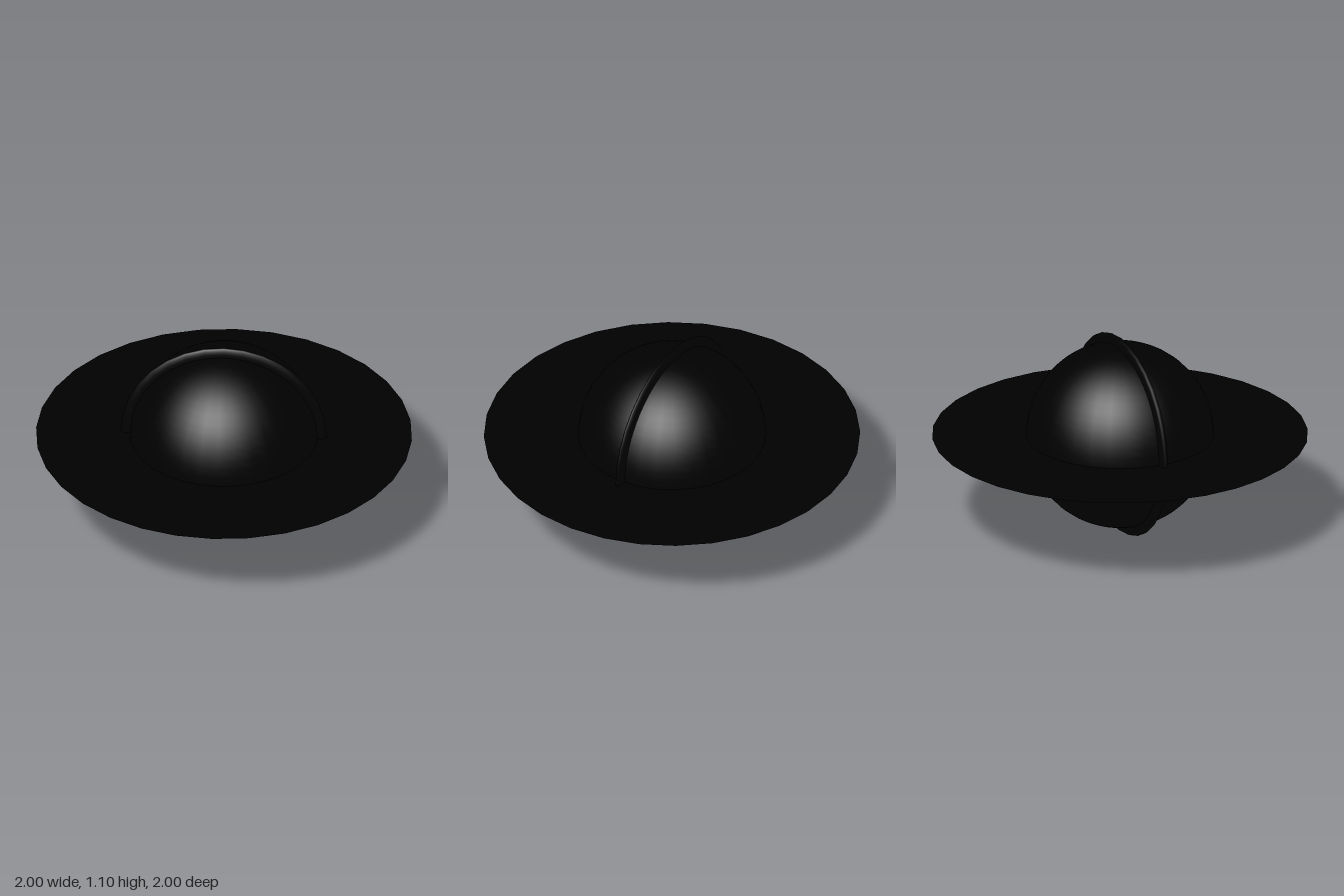
import * as THREE from 'three';

const CENTER_Y = 0.55;
const SEGMENTS = 32;

export function createModel() {
  const model = new THREE.Group();
  const black = new THREE.MeshStandardMaterial({ color: 0x000000 });
  const blackThin = new THREE.MeshStandardMaterial({ color: 0x000000, side: THREE.DoubleSide });

  const add = (name, geometry, material) => {
    const mesh = new THREE.Mesh(geometry, material);
    mesh.name = name;
    mesh.position.y = CENTER_Y;
    model.add(mesh);
    return mesh;
  };

  // Central ball
  add('sphere', new THREE.SphereGeometry(0.5, SEGMENTS, SEGMENTS), black);

  // Paper-thin horizontal disc around the ball
  const disc = new THREE.RingGeometry(0.5, 1, SEGMENTS).rotateX(-Math.PI / 2);
  add('disc', disc, blackThin);

  // Upright halo, a torus flattened front to back
  const halo = new THREE.TorusGeometry(0.5, 0.05, 16, SEGMENTS).scale(1, 1, 0.4);
  add('halo', halo, black);

  return model;
}
